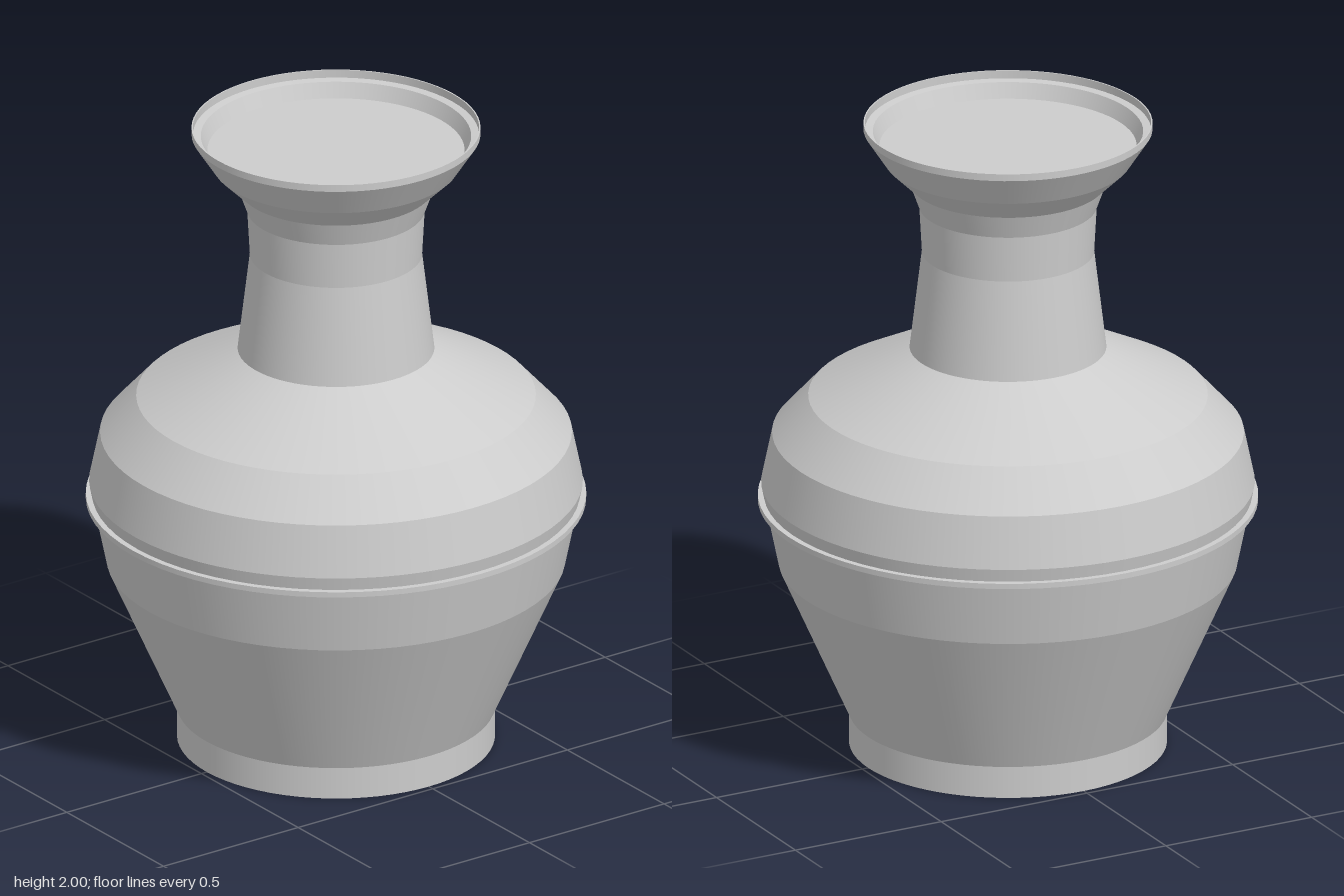
import * as THREE from 'three';
import { mergeGeometries } from 'three/addons/utils/BufferGeometryUtils.js';

const SEGMENTS = 72;

// Turned surface: smooth around the axis, with a crisp edge at every profile point
function turned(name, profile, material) {
  const bands = [];
  for (let i = 0; i < profile.length - 1; i++) {
    const pair = [profile[i], profile[i + 1]].map(([r, y]) => new THREE.Vector2(r, y));
    bands.push(new THREE.LatheGeometry(pair, SEGMENTS));
  }
  const mesh = new THREE.Mesh(mergeGeometries(bands), material);
  mesh.name = name;
  return mesh;
}

export function createModel() {
  const model = new THREE.Group();
  model.name = 'vase';
  const clay = new THREE.MeshStandardMaterial({ color: 0xcccccc });
  clay.name = 'pale grey';

  // Foot with closed underside
  model.add(turned('foot', [[0, 0], [0.48, 0], [0.48, 0.1]], clay));

  // Belly and shoulder
  model.add(turned('body', [
    [0.48, 0.1], [0.692, 0.58], [0.745, 0.84], [0.712, 1.0], [0.603, 1.12], [0.297, 1.275],
  ], clay));

  // Thin raised band around the belly
  model.add(turned('bellyBand', [
    [0.72, 0.782], [0.755, 0.782], [0.755, 0.799], [0.72, 0.799],
  ], clay));

  // Waisted neck
  model.add(turned('neck', [[0.297, 1.275], [0.26, 1.585], [0.268, 1.73], [0.295, 1.805]], clay));

  // Flared mouth with a thin upright lip and stepped inside
  model.add(turned('mouth', [
    [0.295, 1.805], [0.372, 1.88], [0.436, 1.978], [0.436, 2.0],
    [0.432, 2.0], [0.432, 1.975], [0.408, 1.972], [0.388, 1.926],
  ], clay));

  // Flat surface closing the mouth
  model.add(turned('mouthFloor', [[0.388, 1.926], [0, 1.926]], clay));

  return model;
}
